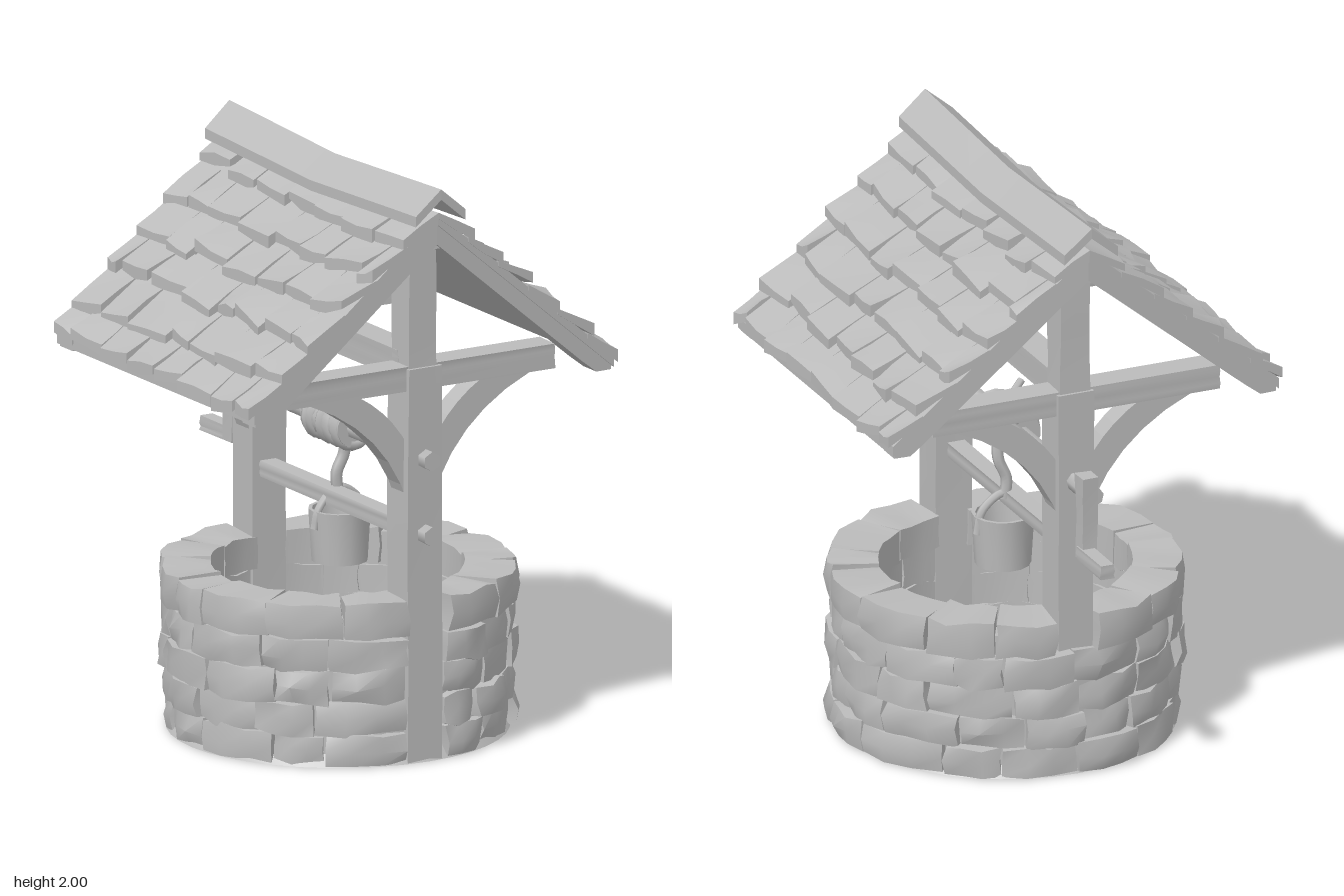
import * as THREE from 'three';
import { mergeVertices, toCreasedNormals } from 'three/addons/utils/BufferGeometryUtils.js';

const V = (x, y, z) => new THREE.Vector3(x, y, z);
const lerp = THREE.MathUtils.lerp;
const TURN = 0.616; // heading of the ridge

export function createModel() {
  const grey = new THREE.MeshStandardMaterial({ color: 0xbbbbbb });
  grey.name = 'plain grey';

  // seeded random, centred on zero
  let seed = 11;
  const rnd = (s) => {
    seed = (seed * 16807) % 2147483647;
    return (seed / 2147483647 - 0.5) * 2 * s;
  };

  const root = new THREE.Group();
  root.name = 'well';
  const group = (name, parent = root) => {
    const g = new THREE.Group();
    g.name = name;
    parent.add(g);
    return g;
  };
  const add = (parent, name, geo, x = 0, y = 0, z = 0) => {
    const m = new THREE.Mesh(geo, grey);
    m.name = name;
    m.position.set(x, y, z);
    parent.add(m);
    return m;
  };

  // unit box whose points are moved by a rule, with creased edges
  const warpBox = (sx, sy, sz, rule) => {
    let g = new THREE.BoxGeometry(1, 1, 1, sx, sy, sz);
    g.deleteAttribute('normal');
    g.deleteAttribute('uv');
    g = mergeVertices(g);
    const p = g.attributes.position, v = V(0, 0, 0);
    for (let i = 0; i < p.count; i++) {
      v.copy(rule(p.getX(i) + 0.5, p.getY(i) + 0.5, p.getZ(i) + 0.5));
      p.setXYZ(i, v.x, v.y, v.z);
    }
    return toCreasedNormals(g, 0.8);
  };

  // ---- stone ring, left open where the posts stand ----
  const base = group('stoneRing');
  base.position.set(0.006, 0, -0.02);
  const profile = [[0, 0], [0.575, 0], [0.545, 0.04], [0.535, 0.5], [0.455, 0.5], [0.455, 0.03], [0, 0.03]];
  add(base, 'wallCore', toCreasedNormals(
    new THREE.LatheGeometry(profile.map(([x, y]) => new THREE.Vector2(x, y)), 40), 0.6));

  const stone = (name, r0, r1, y0, y1, a0, a1, rough) => {
    const out = rnd(rough);
    add(base, name, warpBox(3, 2, 1, (u, h, d) => {
      const edge = (u === 0 || u === 1 ? 1 : 0) + (h === 0 || h === 1 ? 0.7 : 0);
      const r = lerp(r0, r1 + out - edge * 0.012 + rnd(rough * 0.6), d);
      const a = lerp(a0, a1, u) + rnd(0.012);
      const y = Math.max(0.004, lerp(y0, y1, h) + rnd(0.01));
      return V(Math.sin(a) * r, y, Math.cos(a) * r);
    }));
  };
  // n stones filling the arc from a0 to a1; shift staggers the joints
  const course = (name, n, a0, a1, r0, r1, y0, y1, shift, rough) => {
    const step = (a1 - a0) / n, cuts = [a0];
    for (let i = 1; i < n; i++) cuts.push(a0 + (i - shift) * step + rnd(step * 0.22));
    cuts.push(a1);
    for (let i = 0; i < n; i++) stone(name, r0, r1, y0, y1, cuts[i] + 0.007, cuts[i + 1] - 0.007, rough);
  };
  const gap = 0.125;
  for (let i = 0; i < 4; i++)
    course('wallStone', 14 + (i % 2), TURN + gap, TURN + Math.PI * 2 - gap,
      0.445, 0.593, i * 0.11, i * 0.11 + 0.108, (i % 2) * 0.4, 0.017);
  for (const start of [TURN, TURN + Math.PI])
    course('rimStone', 7, start + gap, start + Math.PI - gap, 0.425, 0.608, 0.445, 0.562, 0, 0.008);

  // ---- timber frame: local z runs along the ridge ----
  const frame = group('timberFrame');
  frame.rotation.y = TURN;
  const beam = (name, w, h, d, x, y, z, taper = 1) =>
    add(frame, name, warpBox(1, 4, 1, (u, t, s) => {
      const k = lerp(1, taper, t);
      return V((u - 0.5) * w * k + rnd(0.003), (t - 0.5) * h, (s - 0.5) * d * k + rnd(0.003));
    }), x, y, z);

  const brace = new THREE.Shape();
  brace.moveTo(0.04, 0.87);
  brace.quadraticCurveTo(0.13, 1.16, 0.43, 1.28);
  brace.lineTo(0.29, 1.31);
  brace.quadraticCurveTo(0.13, 1.24, 0.04, 1.08);
  const braceGeo = new THREE.ExtrudeGeometry(brace, { depth: 0.08, bevelEnabled: false, curveSegments: 6 });
  braceGeo.translate(0, 0, -0.04);

  for (const z of [0.49, -0.5]) {
    beam('post', 0.13, 1.36, 0.132, 0.008, 0.68, z);
    beam('upperPost', 0.11, 0.5, 0.11, 0.006, 1.58, z, 0.95);
    beam('tieBeam', 1.05, 0.085, 0.1, 0, 1.325, z);
    for (const turn of [0, Math.PI])
      add(frame, 'curvedBrace', braceGeo, 0.005, 0, z).rotation.y = turn;
  }
  beam('lengthBeam', 0.1, 0.1, 0.95, 0, 1.36, 0);
  beam('ridgePole', 0.09, 0.1, 1.26, 0, 1.835, -0.01);
  beam('lowerRail', 0.06, 0.055, 0.96, 0, 0.79, -0.01);

  // ---- winch ----
  const rod = (name, r, len, y, z, sides = 7) => {
    const m = add(frame, name, new THREE.CylinderGeometry(r, r, len, sides), 0.01, y, z);
    m.rotation.x = Math.PI / 2;
    return m;
  };
  rod('axle', 0.034, 1.24, 1.045, -0.1);
  rod('axlePeg', 0.034, 0.1, 1.045, 0.55, 6);
  rod('railPeg', 0.034, 0.1, 0.785, 0.55, 6);
  rod('ropeDrum', 0.07, 0.24, 1.05, -0.01, 14);
  for (let i = 0; i < 5; i++) {
    const coil = add(frame, 'ropeCoil', new THREE.TorusGeometry(0.06, 0.024, 6, 16), 0.01, 1.05, -0.11 + i * 0.05);
    coil.rotation.set(rnd(0.15), rnd(0.25), 0);
  }
  beam('crankArm', 0.05, 0.3, 0.055, 0.03, 0.97, -0.7, 1.15);
  beam('crankHandle', 0.05, 0.05, 0.2, 0.038, 0.84, -0.785);

  // ---- rope and bucket ----
  const tube = (name, pts, r) => add(root, name, new THREE.TubeGeometry(
    new THREE.CatmullRomCurve3(pts.map((p) => V(...p))), 16, r, 6));
  tube('rope', [[0.03, 1.02, -0.04], [0.025, 0.93, -0.05], [0.0, 0.86, -0.04], [0.005, 0.79, -0.045]], 0.02);
  tube('bucketHandle', [[-0.07, 0.68, 0.02], [-0.055, 0.75, 0.01], [0.005, 0.81, -0.045],
    [0.07, 0.76, -0.1], [0.085, 0.68, -0.115]], 0.015);
  tube('ropeTail', [[0.01, 1.1, -0.02], [-0.01, 1.14, 0.03], [-0.03, 1.17, 0.07]], 0.014);
  const pail = [[0, 0.56], [0.095, 0.56], [0.106, 0.74], [0.093, 0.74], [0.084, 0.59], [0, 0.59]];
  add(root, 'bucket', toCreasedNormals(
    new THREE.LatheGeometry(pail.map(([x, y]) => new THREE.Vector2(x, y)), 14), 0.6), 0.01, 0, -0.047);

  // ---- roof: each slope spans the sagging ridge and its eave ----
  const roof = group('roof');
  const ridge = [V(0.38, 1.894, 0.525), V(-0.385, 1.894, -0.555)];
  const slopes = [
    { name: 'leftSlope', r: ridge, e: [V(0.95, 1.287, 0.082), V(0.22, 1.287, -0.945)] },
    { name: 'rightSlope', r: [ridge[1], ridge[0]], e: [V(-0.952, 1.287, -0.09), V(-0.22, 1.287, 0.937)] },
  ];
  for (const s of slopes) {
    const g = group(s.name, roof);
    // u along the ridge, v down the slope, w straight up; cut level at the eave
    const at = (u, v, w) => {
      const top = s.r[0].clone().lerp(s.r[1], u);
      top.y -= 0.03 * (1 - Math.abs(2 * THREE.MathUtils.clamp(u, 0, 1) - 1));
      const p = top.lerp(s.e[0].clone().lerp(s.e[1], u), v);
      p.y = Math.max(1.268, p.y + w);
      return p;
    };
    const slab = (name, u0, u1, v0, v1, w0, w1, n = 1) =>
      add(g, name, warpBox(n, 1, 12, (u, w, v) => at(lerp(u0, u1, u), lerp(v0, v1, v), lerp(w0, w1, w))));
    slab('roofBoards', 0.005, 0.995, 0, 0.98, -0.022, 0.015, 8);
    slab('gableRafter', 0.01, 0.075, 0.0, 0.97, -0.09, 0);
    slab('gableRafter', 0.925, 0.99, 0.0, 0.97, -0.09, 0);
    slab('ridgeCap', -0.01, 1.01, 0, 0.135, 0.07, 0.106, 8);

    // overlapping staggered shingles
    const rows = 6, cols = 7;
    for (let r = 0; r < rows; r++) {
      const odd = r % 2;
      const cuts = [0];
      for (let c = 1; c < cols + odd; c++) cuts.push((c - odd * 0.5 + rnd(0.2)) / cols);
      cuts.push(1);
      for (let c = 0; c < cuts.length - 1; c++) {
        const last = r === rows - 1;
        const v0 = r / rows, v1 = (r + 1) / rows + (last ? rnd(0.01) : 0.03 + rnd(0.025));
        const lift = rnd(0.009), skew = rnd(0.014), twist = rnd(0.014);
        add(g, 'shingle', warpBox(2, 1, 2, (u, w, v) => {
          const bend = lift + twist * (u - 0.5) * 2 + rnd(0.008);
          const high = lerp(0.022, last ? 0.05 : 0.066, v) + bend * v;
          return at(lerp(cuts[c] + 0.002, cuts[c + 1] - 0.002, u),
            lerp(v0, v1 + skew * (u - 0.5) * 2, v), w ? high : high - lerp(0.02, 0.038, v));
        }));
      }
    }
  }
  return root;
}
